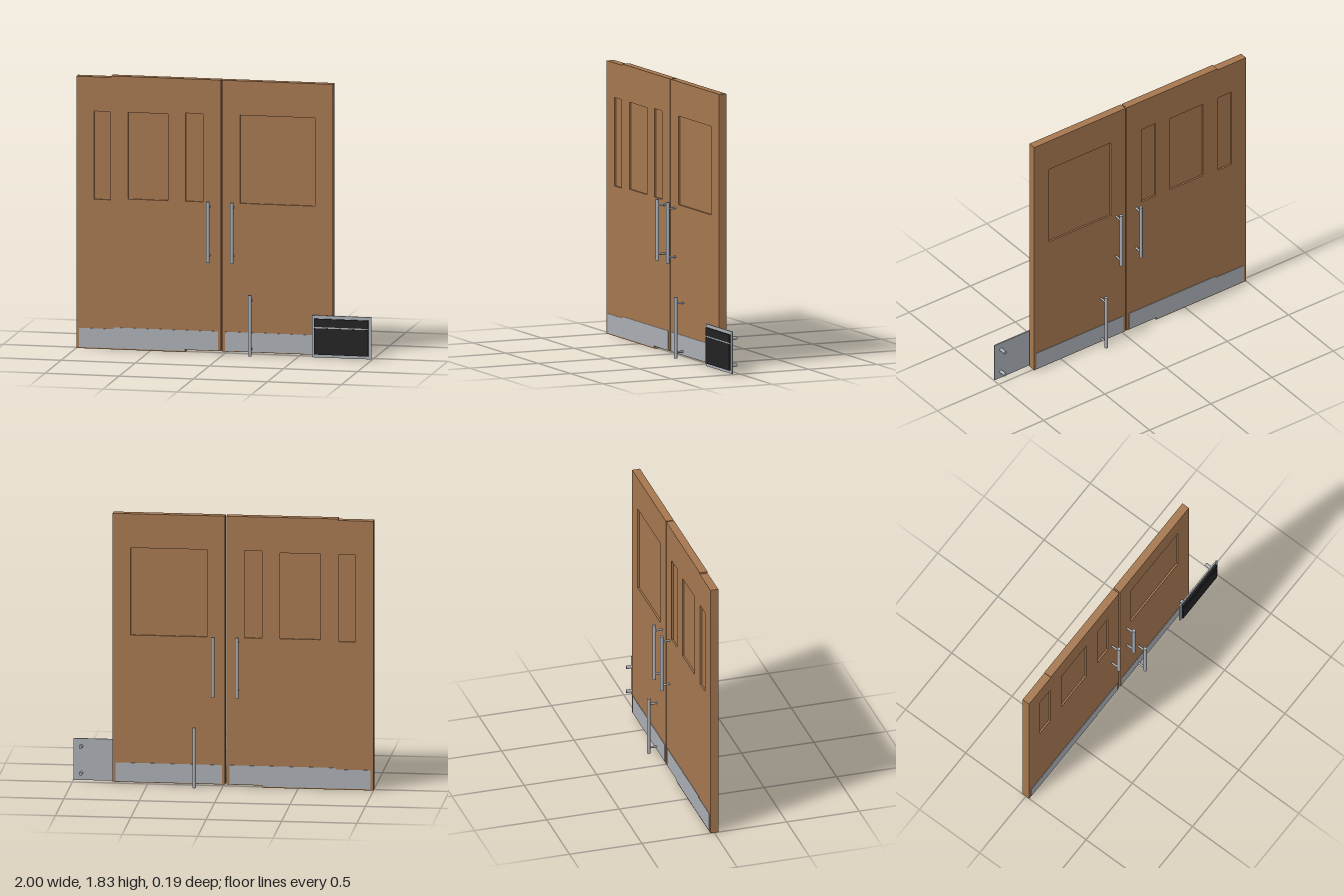
import * as THREE from 'three';

export function createModel() {
  const root = new THREE.Group();
  root.name = 'doubleDoor';
  const mat = (name, color) => {
    const m = new THREE.MeshStandardMaterial({ color });
    m.name = name;
    return m;
  };
  const wood = mat('wood', 0xa5774f);
  const steel = mat('brushedSteel', 0xa9aeb4);
  const black = mat('signBlack', 0x222222);

  const HALF = 0.027; // half thickness of the doors

  const add = (name, geo, material, parent = root) => {
    const mesh = new THREE.Mesh(geo, material);
    mesh.name = name;
    parent.add(mesh);
    return mesh;
  };
  // Box given by its limits on each axis
  const box = (name, x0, x1, y0, y1, z0, z1, material, parent) => {
    const mesh = add(name, new THREE.BoxGeometry(x1 - x0, y1 - y0, z1 - z0), material, parent);
    mesh.position.set((x0 + x1) / 2, (y0 + y1) / 2, (z0 + z1) / 2);
    return mesh;
  };
  // Flat outline extruded along z from z0 to z1, with rectangular holes
  const slab = (name, points, z0, z1, material, parent, holes = []) => {
    const shape = new THREE.Shape(points.map(([x, y]) => new THREE.Vector2(x, y)));
    for (const [x0, x1, y0, y1] of holes) {
      shape.holes.push(new THREE.Path([
        new THREE.Vector2(x0, y0), new THREE.Vector2(x0, y1),
        new THREE.Vector2(x1, y1), new THREE.Vector2(x1, y0),
      ]));
    }
    const geo = new THREE.ExtrudeGeometry(shape, { depth: z1 - z0, bevelEnabled: false });
    geo.translate(0, 0, z0);
    return add(name, geo, material, parent);
  };

  // Door leaf: slab, recessed panels and kick plates on both faces
  const door = (name, outline, panels, plate) => {
    const g = new THREE.Group();
    g.name = name;
    root.add(g);
    slab('leaf', outline, -HALF, HALF, wood, g, panels);
    for (const [x0, x1, y0, y1] of panels) {
      box('recessedPanel', x0, x1, y0, y1, -0.015, 0.015, wood, g);
    }
    slab('frontKickPlate', plate, HALF, HALF + 0.003, steel, g);
    slab('backKickPlate', plate, -HALF - 0.003, -HALF, steel, g);
  };

  door('rightDoor',
    [[-1, 0], [-0.265, 0], [-0.265, 0.015], [-0.025, 0.015], [-0.025, 1.83],
      [-0.765, 1.83], [-0.765, 1.82], [-1, 1.82]],
    [[-0.88, -0.77, 1.0, 1.59], [-0.65, -0.38, 1.01, 1.59], [-0.262, -0.145, 1.01, 1.6]],
    [[-0.98, 0.008], [-0.265, 0.008], [-0.265, 0.02], [-0.045, 0.02], [-0.045, 0.147],
      [-0.75, 0.147], [-0.75, 0.136], [-0.98, 0.136]]);

  door('leftDoor',
    [[-0.016, 0.015], [0.73, 0.015], [0.73, 1.83], [-0.016, 1.83]],
    [[0.105, 0.61, 1.01, 1.6]],
    [[0.003, 0.02], [0.712, 0.02], [0.712, 0.147], [0.003, 0.147]]);

  // Post running along z
  const post = (name, x, y, z0, z1, r, parent) => {
    const mesh = add(name, new THREE.CylinderGeometry(r, r, z1 - z0, 16), steel, parent);
    mesh.rotation.x = Math.PI / 2;
    mesh.position.set(x, y, (z0 + z1) / 2);
  };

  // Bar handles: one bar per face, joined by two posts through the door
  for (const [x, y0] of [[-0.101, 0.615], [0.06, 0.615], [0.183, 0]]) {
    const g = new THREE.Group();
    g.name = 'pullHandle';
    root.add(g);
    for (const side of [-1, 1]) {
      const bar = add('bar', new THREE.CylinderGeometry(0.0115, 0.0115, 0.407, 20), steel, g);
      bar.position.set(x, y0 + 0.2035, side * 0.083);
    }
    for (const dy of [0.041, 0.366]) post('post', x, y0 + dy, -0.083, 0.083, 0.007, g);
  }

  // Sign plate held off by four posts
  const sign = new THREE.Group();
  sign.name = 'signPlate';
  root.add(sign);
  box('backing', 0.595, 0.997, 0.004, 0.285, 0.049, 0.058, steel, sign);
  box('lowerFace', 0.612, 0.977, 0.024, 0.2, 0.058, 0.069, black, sign);
  box('upperFace', 0.612, 0.977, 0.209, 0.263, 0.058, 0.069, black, sign);
  box('divider', 0.612, 0.977, 0.2, 0.209, 0.058, 0.066, steel, sign);
  for (const x of [0.643, 0.946]) {
    for (const y of [0.054, 0.234]) post('standoff', x, y, 0, 0.049, 0.011, sign);
  }

  return root;
}
